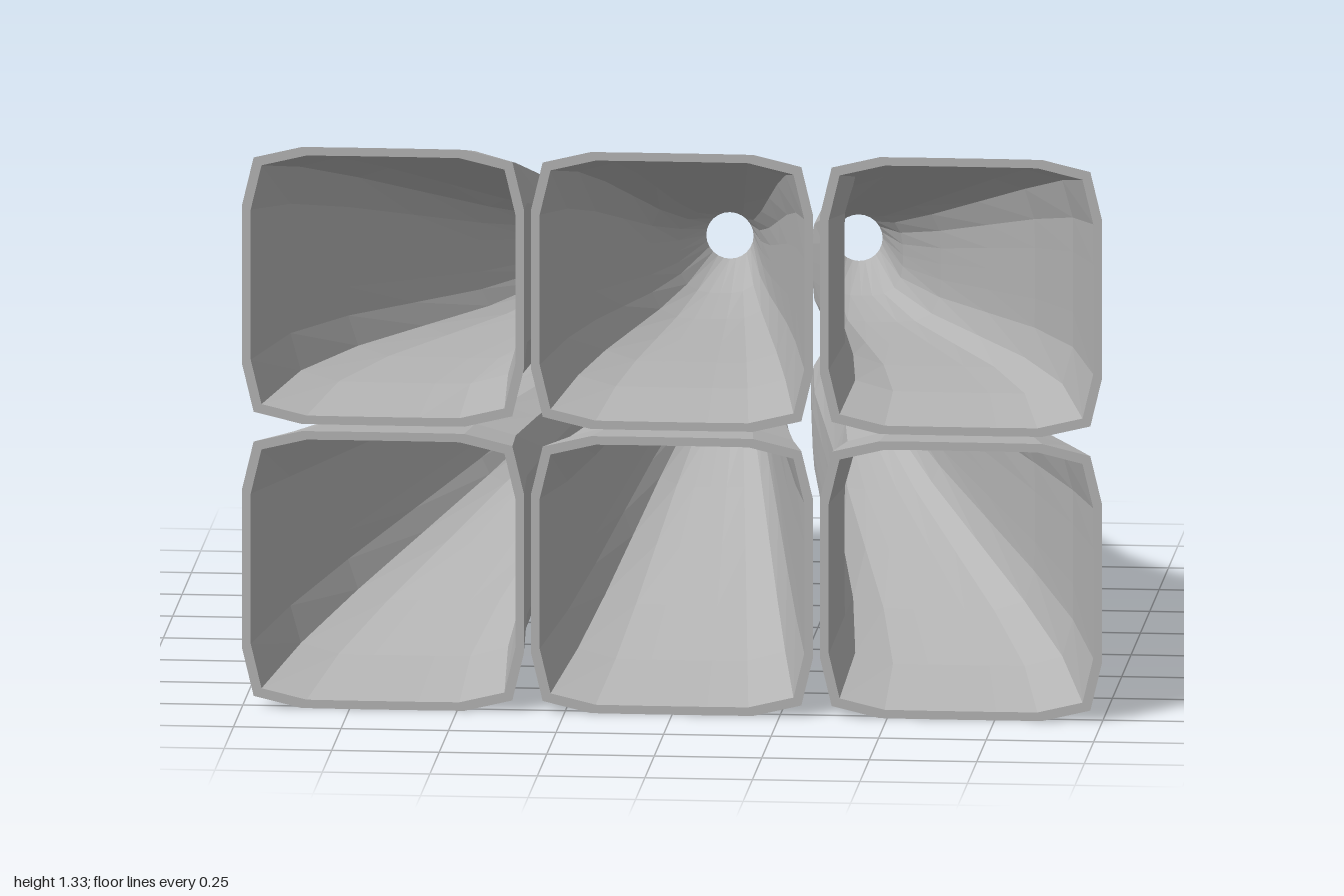
import * as THREE from 'three';

const SIDES = 24, STEPS = 6, LENGTH = 1.55, WALL = 0.02;
const MID_Y = 0.664;

// Cross-section radius factor: a circle for n = 2, a rounded square for n = 8
const factor = (a, n) =>
  1 / Math.pow(Math.abs(Math.cos(a)) ** n + Math.abs(Math.sin(a)) ** n, 1 / n);

// One ring of a horn at t (0 = narrow back, 1 = wide mouth)
function ring(t, col, row, inset) {
  const s = t * t * (3 - 2 * t);
  const cx = col * THREE.MathUtils.lerp(0.3, 0.672, s);
  const cy = MID_Y + row * THREE.MathUtils.lerp(0.151, 0.336, s);
  const half = THREE.MathUtils.lerp(0.075, 0.328, t) - inset;
  const n = 2 + 6 * t;
  return Array.from({ length: SIDES }, (_, i) => {
    const a = (i / SIDES) * Math.PI * 2;
    const r = half * factor(a, n);
    return [cx + r * Math.cos(a), cy + r * Math.sin(a), (t - 0.5) * LENGTH];
  });
}

// Hollow horn: outer skin, mouth rim, inner skin and back rim in one closed loop
function hornGeometry(col, row) {
  const rings = [];
  for (let k = 0; k <= STEPS; k++) rings.push(ring(k / STEPS, col, row, 0));
  for (let k = STEPS; k >= 0; k--) rings.push(ring(k / STEPS, col, row, WALL));
  const index = [];
  for (let k = 0; k < rings.length; k++) {
    const next = (k + 1) % rings.length;
    for (let i = 0; i < SIDES; i++) {
      const j = (i + 1) % SIDES;
      const a = k * SIDES + i, b = k * SIDES + j;
      const c = next * SIDES + j, d = next * SIDES + i;
      index.push(a, b, c, a, c, d);
    }
  }
  const geo = new THREE.BufferGeometry();
  geo.setAttribute('position', new THREE.Float32BufferAttribute(rings.flat(2), 3));
  geo.setIndex(index);
  const flat = geo.toNonIndexed();
  flat.computeVertexNormals();
  return flat;
}

export function createModel() {
  const group = new THREE.Group();
  group.name = 'hornArray';
  const metal = new THREE.MeshStandardMaterial({ color: 0xb4b4b4, flatShading: true });
  metal.name = 'grey metal';

  // Two rows of three horns, fanning out toward the mouths
  for (const [row, rowName] of [[1, 'upper'], [-1, 'lower']]) {
    for (const [col, colName] of [[-1, 'Right'], [0, 'Middle'], [1, 'Left']]) {
      const horn = new THREE.Mesh(hornGeometry(col, row), metal);
      horn.name = `${rowName}${colName}Horn`;
      group.add(horn);
    }
  }
  return group;
}
